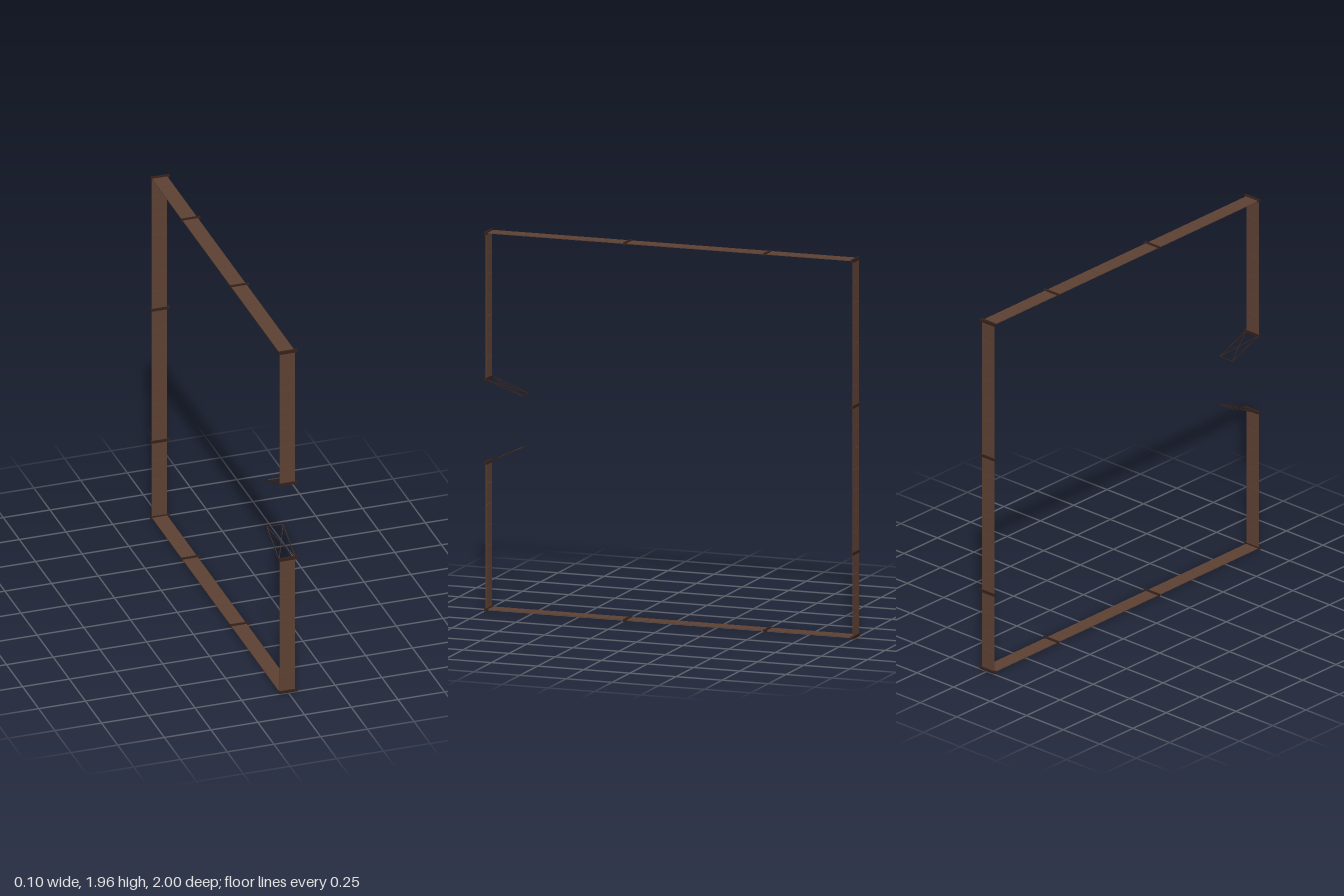
import * as THREE from 'three';

const plankMat = new THREE.MeshStandardMaterial({ color: 0x5d4033 });
const postMat = new THREE.MeshStandardMaterial({ color: 0x33211b });

const Z = 0.993, BOTTOM = 0.007, TOP = 1.951;

function box(parent, name, size, pos, mat) {
  const mesh = new THREE.Mesh(new THREE.BoxGeometry(...size), mat);
  mesh.name = name;
  mesh.position.set(...pos);
  parent.add(mesh);
  return mesh;
}

// Group lying between two (z, y) points: local z runs along the span
function span(parent, name, a, b) {
  const g = new THREE.Group();
  g.name = name;
  const dz = b[0] - a[0], dy = b[1] - a[1];
  g.position.set(0, (a[1] + b[1]) / 2, (a[0] + b[0]) / 2);
  g.rotation.x = -Math.atan2(dy, dz);
  parent.add(g);
  return { g, length: Math.hypot(dz, dy) };
}

// Row of boards with narrow gaps between two posts
function fencePanel(parent, a, b) {
  const { g, length } = span(parent, 'fencePanel', a, b);
  const count = Math.round(length / 0.107);
  const pitch = length / count;
  for (let i = 0; i < count; i++) {
    box(g, 'plank', [0.081, 0.004, pitch - 0.0015],
      [-0.004, 0, -length / 2 + (i + 0.5) * pitch], plankMat);
  }
}

// Open gate leaf: thin frame with crossed braces
function gate(parent, a, b) {
  const { g, length } = span(parent, 'gate', a, b);
  const t = 0.004, w = 0.09, cx = -0.003;
  for (const s of [-1, 1]) {
    box(g, 'gateRail', [t, t, length], [cx + s * (w - t) / 2, 0, 0], postMat);
    box(g, 'gateEnd', [w, t, t], [cx, 0, s * (length - t) / 2], postMat);
    const brace = box(g, 'gateBrace', [t, t * 0.8, Math.hypot(w, length) - 2 * t], [cx, 0, 0], postMat);
    brace.rotation.y = s * Math.atan2(w, length);
  }
}

export function createModel() {
  const model = new THREE.Group();
  model.name = 'fenceEnclosure';

  // Posts in order around the enclosure, from one gate jamb to the other
  const posts = [
    [Z, 1.197], [Z, TOP], [0.24, TOP], [-0.518, TOP], [-Z, TOP],
    [-Z, 1.197], [-Z, 0.44], [-Z, BOTTOM], [-0.518, BOTTOM], [0.24, BOTTOM],
    [Z, BOTTOM], [Z, 0.765],
  ];
  posts.forEach(([z, y], i) => {
    box(model, 'post', [0.1, 0.014, 0.014], [0, y, z], postMat);
    if (i > 0) fencePanel(model, posts[i - 1], [z, y]);
  });

  // Two gate leaves swung inward
  gate(model, posts[0], [0.79, 1.122]);
  gate(model, posts[posts.length - 1], [0.795, 0.857]);
  return model;
}
